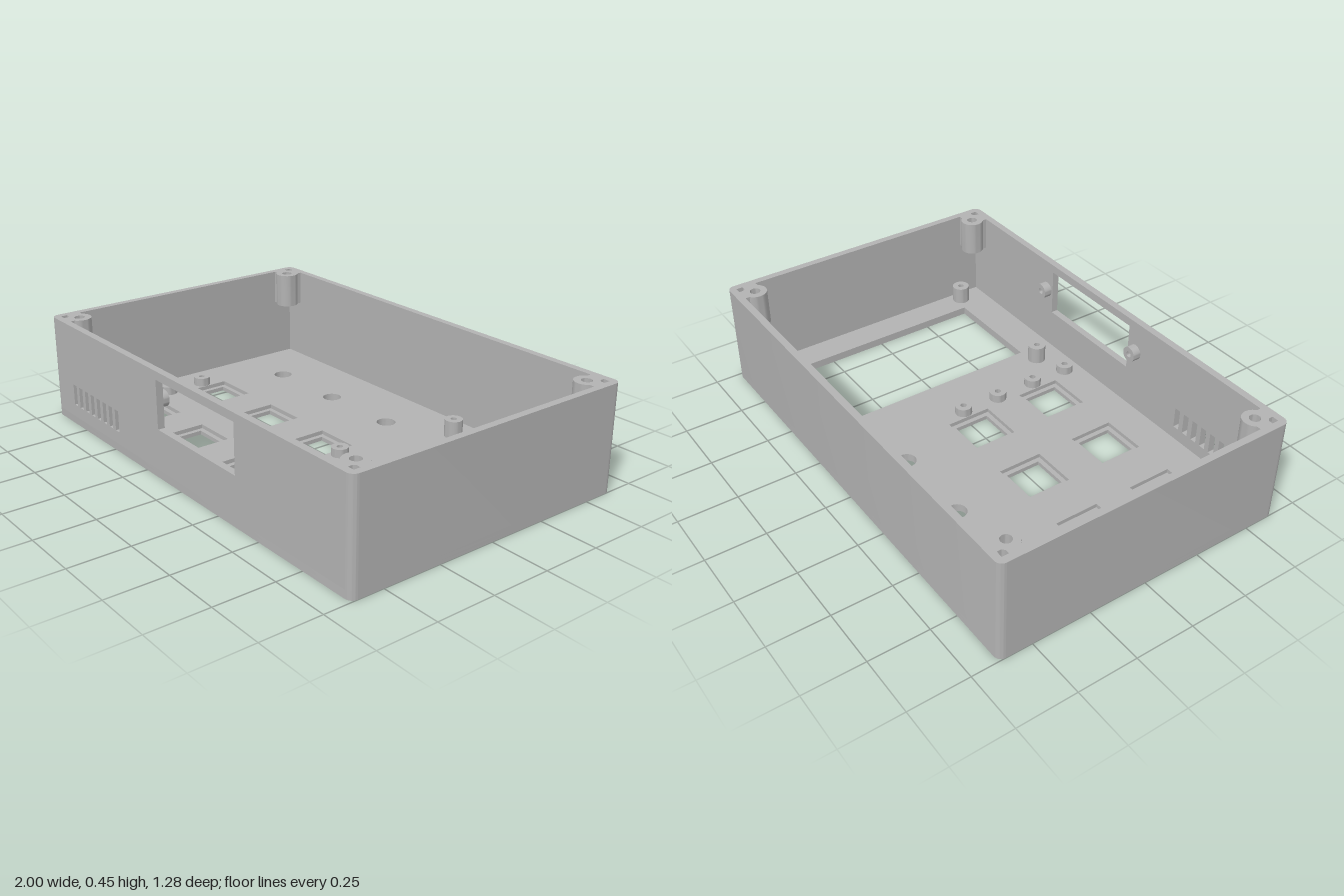
import * as THREE from 'three';
import { toCreasedNormals } from 'three/addons/utils/BufferGeometryUtils.js';

const W = 1, D = 0.64, H = 0.445, T = 0.03, R = 0.03, FLOOR = 0.034, PLATE = 0.017;

// Closed rectangle path, given by centre and half sizes
function rect(cx, cy, hw, hh, Type = THREE.Path) {
  return new Type([[-1, -1], [1, -1], [1, 1], [-1, 1]].map(([a, b]) => new THREE.Vector2(cx + a * hw, cy + b * hh)));
}
function circle(cx, cy, r, Type = THREE.Path) {
  const p = new Type();
  p.absarc(cx, cy, r, 0, Math.PI * 2, false);
  return p;
}
function extrude(shape, depth) {
  const g = new THREE.ExtrudeGeometry(shape, { depth, bevelEnabled: false, curveSegments: 16 });
  return toCreasedNormals(g, 0.6);
}
// Plan shapes use (x, -z) and rise along y
const rise = (shape, y, height) => extrude(shape, height).rotateX(-Math.PI / 2).translate(0, y, 0);

function ring(r, hole) {
  const s = circle(0, 0, r, THREE.Shape);
  s.holes.push(circle(0, 0, hole));
  return s;
}

export function createModel() {
  const group = new THREE.Group();
  const grey = new THREE.MeshStandardMaterial({ color: 0xb2b2b2 });
  grey.name = 'grey plastic';
  const add = (name, geometry, x = 0, y = 0, z = 0, parent = group) => {
    const m = new THREE.Mesh(geometry, grey);
    m.name = name;
    m.position.set(x, y, z);
    parent.add(m);
    return m;
  };

  // Floor in two layers: the upper one has larger key openings, leaving a recess
  const floorLayer = (keyHalf) => {
    const s = new THREE.Shape();
    s.absarc(W - R, D - R, R, 0, Math.PI / 2);
    s.absarc(-W + R, D - R, R, Math.PI / 2, Math.PI);
    s.absarc(-W + R, -D + R, R, Math.PI, Math.PI * 1.5);
    s.absarc(W - R, -D + R, R, Math.PI * 1.5, Math.PI * 2);
    s.holes.push(rect(0.615, 0, 0.23, 0.458));
    for (const x of [-0.7, -0.335, 0.03]) {
      s.holes.push(circle(x, 0.365, 0.04));
      for (const z of [0, 0.36]) s.holes.push(rect(x, -z, keyHalf, keyHalf));
    }
    return s;
  };
  add('floorLower', rise(floorLayer(0.077), 0, PLATE));
  add('floorUpper', rise(floorLayer(0.097), PLATE, FLOOR - PLATE));

  // Back and side walls with rounded outer corners
  const u = new THREE.Shape();
  u.moveTo(W - R, -D);
  u.absarc(W - R, -D + R, R, -Math.PI / 2, 0);
  u.absarc(W - R, D - R, R, 0, Math.PI / 2);
  u.absarc(-W + R, D - R, R, Math.PI / 2, Math.PI);
  u.absarc(-W + R, -D + R, R, Math.PI, Math.PI * 1.5);
  u.lineTo(-W + T, D - T);
  u.lineTo(W - T, D - T);
  add('sideAndBackWalls', rise(u, FLOOR, H - FLOOR));

  // Front wall with display window and vent slots
  const front = rect(0, (H + FLOOR) / 2, W - T, (H - FLOOR) / 2, THREE.Shape);
  front.holes.push(rect(0.108, 0.308, 0.257, 0.102));
  for (let i = 0; i < 8; i++) front.holes.push(rect(-0.827 + i * 0.0505, 0.135, 0.014, 0.046));
  add('frontWall', extrude(front, T), 0, 0, D - T);

  // Screw bosses beside the display window
  for (const x of [-0.195, 0.405]) add('windowBoss', extrude(ring(0.033, 0.013), 0.036), x, 0.308, D - T - 0.035);

  // Corner screw posts, webbed to both walls
  const postH = 0.15, px = 0.912, pz = 0.552;
  for (const sx of [-1, 1]) for (const sz of [-1, 1]) {
    const post = new THREE.Group();
    post.name = 'cornerPost';
    group.add(post);
    add('postTube', rise(ring(0.05, 0.022), H - postH, postH), sx * px, 0, sz * pz, post);
    add('postBase', new THREE.CylinderGeometry(0.03, 0.03, 0.02, 24), sx * px, H - postH + 0.01, sz * pz, post);
    const y = H - postH / 2;
    add('sideWeb', new THREE.BoxGeometry(0.035, postH, 0.06), sx * (W - T - 0.013), y, sz * pz, post);
    add('endWeb', new THREE.BoxGeometry(0.06, postH, 0.035), sx * px, y, sz * (D - T - 0.013), post);
  }

  // Display standoffs around the large opening
  for (const x of [0.308, 0.918]) for (const z of [-0.488, 0.488])
    add('displayStandoff', rise(ring(0.038, 0.013), FLOOR, 0.075), x, 0, z);

  // Key board standoffs
  for (const x of [-0.835, 0.165]) for (const z of [0, 0.176, 0.36, 0.535])
    add('keyBoardStandoff', rise(ring(0.036, 0.013), FLOOR, 0.036), x, 0, z);

  return group;
}
